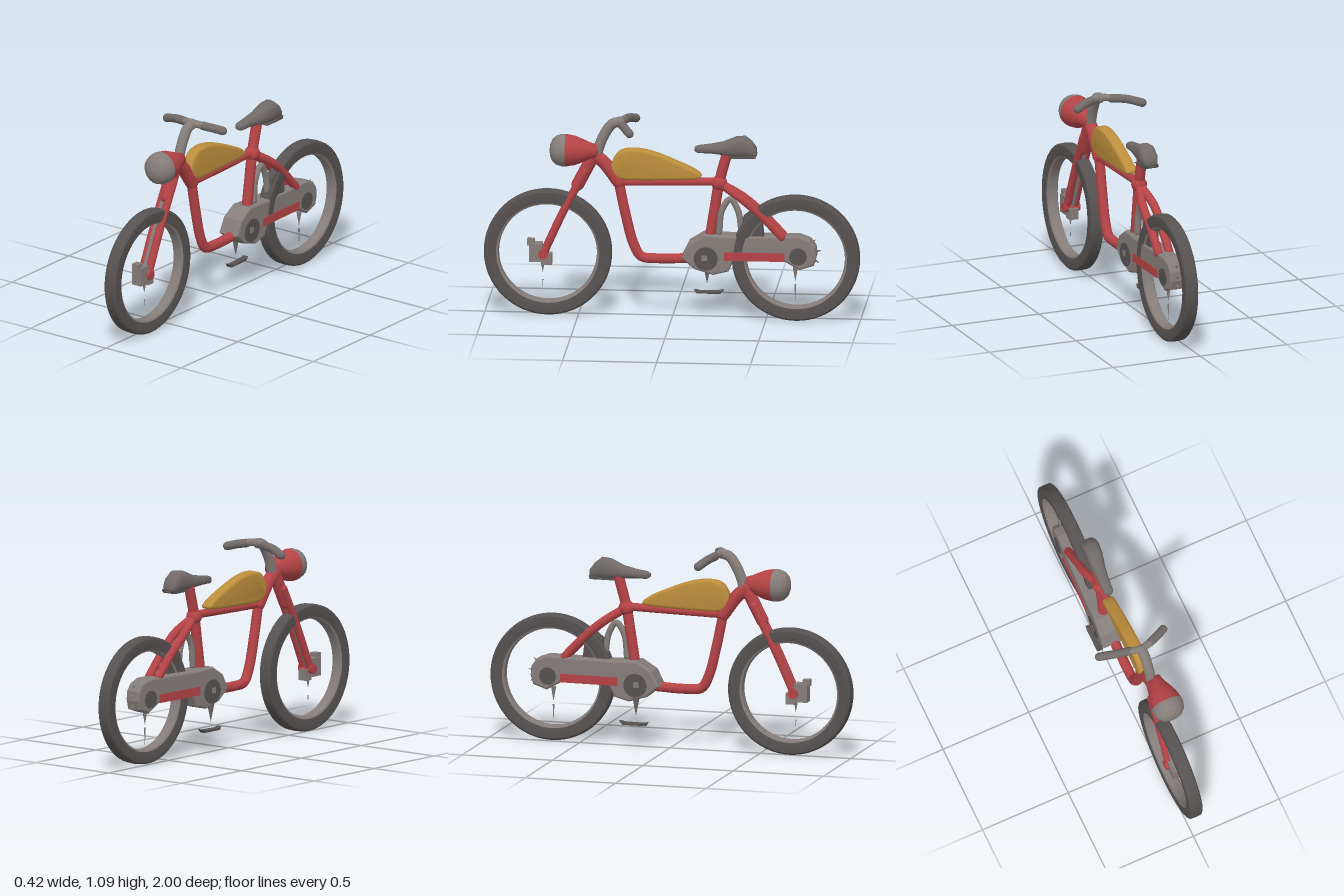
import * as THREE from 'three';
import { toCreasedNormals } from 'three/addons/utils/BufferGeometryUtils.js';

const paint = (name, color) => {
  const m = new THREE.MeshStandardMaterial({ color });
  m.name = name;
  return m;
};

export function createModel() {
  const bike = new THREE.Group();
  bike.name = 'motorbike';
  const red = paint('red frame', 0xb54346);
  const grey = paint('grey metal', 0x857d7a);
  const dark = paint('dark rubber', 0x565251);
  const mid = paint('saddle grey', 0x706a68);
  const yellow = paint('yellow tank', 0xbc8e3c);

  const V = (x, y, z) => new THREE.Vector3(x, y, z);
  const add = (name, geo, mat, x = 0, y = 0, z = 0) => {
    const m = new THREE.Mesh(geo, mat);
    m.name = name;
    m.position.set(x, y, z);
    bike.add(m);
    return m;
  };
  // round bar along a path, with ball ends
  const bar = (name, pts, r, mat) => {
    const path = new THREE.CatmullRomCurve3(pts);
    add(name, new THREE.TubeGeometry(path, pts.length * 8, r, 12), mat);
    for (const p of [pts[0], pts[pts.length - 1]])
      add(name + 'End', new THREE.SphereGeometry(r, 12, 8), mat, p.x, p.y, p.z);
  };
  // side outline of [z, y] points, spread across x
  const plate = (pts, width, bevel, smooth) => {
    const s = new THREE.Shape();
    s.moveTo(...pts[0]);
    if (smooth) s.splineThru([...pts.slice(1), pts[0]].map(p => new THREE.Vector2(...p)));
    else pts.slice(1).forEach(p => s.lineTo(...p));
    const depth = width - 2 * bevel;
    const g = new THREE.ExtrudeGeometry(s, {
      depth, curveSegments: 48, bevelEnabled: bevel > 0, bevelSize: bevel,
      bevelOffset: -bevel, bevelThickness: bevel, bevelSegments: 4
    });
    g.translate(0, 0, -depth / 2);
    g.rotateY(-Math.PI / 2);
    return g;
  };
  const disc = (name, r, w, mat, x, y, z, sides = 24) =>
    add(name, new THREE.CylinderGeometry(r, r, w, sides).rotateZ(Math.PI / 2), mat, x, y, z);
  // ring about the x axis from [radius, offset] profile
  const ring = profile => toCreasedNormals(new THREE.LatheGeometry(
    profile.map(p => new THREE.Vector2(...p)), 64).rotateZ(Math.PI / 2), 0.6);

  // wheels: square-shouldered tyre with a pale inner rim
  for (const [name, x, z] of [['front', 0.022, 0.662], ['rear', 0.042, -0.659]]) {
    add(name + 'Tyre', ring([[0.274, -0.032], [0.3, -0.037], [0.33, -0.036], [0.339, -0.028],
      [0.341, 0], [0.339, 0.028], [0.33, 0.036], [0.3, 0.037], [0.274, 0.032]]), dark, x, 0.348, z);
    add(name + 'Rim', ring([[0.274, 0.032], [0.264, 0.026], [0.26, 0],
      [0.264, -0.026], [0.274, -0.032]]), grey, x, 0.348, z);
  }

  // front fork: red blades, grey inner leg, axle block
  const blade = x => [V(x, 0.8, 0.462), V(x, 0.57, 0.58), V(x, 0.34, 0.685)];
  bar('forkBladeLeft', blade(0.045), 0.021, red);
  bar('forkBladeRight', blade(0.002), 0.021, red);
  bar('forkInnerLeg', blade(0.012), 0.019, grey);
  bar('forkCrown', [V(0.028, 0.89, 0.415), V(0.028, 0.72, 0.503)], 0.034, red);
  add('frontAxle', new THREE.BoxGeometry(0.06, 0.1, 0.07), grey, 0.022, 0.345, 0.725);
  add('axleLug', new THREE.BoxGeometry(0.04, 0.035, 0.04), grey, 0.022, 0.4, 0.752);
  add('axleRear', new THREE.BoxGeometry(0.05, 0.06, 0.05), grey, 0.022, 0.31, 0.665);
  disc('axleCap', 0.026, 0.09, red, 0.022, 0.34, 0.685);

  // headlamp: pale dome on a red bell
  const lamp = (name, profile, mat) => add(name, new THREE.LatheGeometry(
    profile.map(p => new THREE.Vector2(...p)), 32).rotateX(Math.PI / 2), mat, 0.045, 0.91, 0);
  lamp('headlampBell', [[0.001, 0.39], [0.035, 0.4], [0.046, 0.44], [0.062, 0.475],
    [0.078, 0.515], [0.087, 0.565]], red);
  lamp('headlampDome', [[0.087, 0.565], [0.086, 0.59], [0.077, 0.617], [0.058, 0.637],
    [0.032, 0.648], [0, 0.652]], grey);

  // steering stem, bars and grips
  bar('stem', [V(0.03, 0.88, 0.405), V(0.03, 0.98, 0.37), V(0.03, 1.055, 0.32), V(0.03, 1.068, 0.28)], 0.028, grey);
  for (const [ex, ey, ez, s] of [[-0.187, 1.034, 0.212, -1], [0.185, 1.044, 0.215, 1]]) {
    const mx = 0.03 + s * 0.06;
    bar('handlebar', [V(0.03, 1.073, 0.278), V(mx, 1.066, 0.262)], 0.02, grey);
    bar('grip', [V(mx, 1.064, 0.26), V((mx + ex) / 2, 1.056, 0.24), V(ex, ey, ez)], 0.023, mid);
  }

  // frame tubes
  const fx = 0.03;
  bar('headTube', [V(fx, 0.89, 0.42), V(fx, 0.84, 0.36), V(fx, 0.74, 0.285)], 0.036, red);
  bar('topTube', [V(fx, 0.74, 0.28), V(fx, 0.745, 0.05), V(fx, 0.752, -0.24)], 0.022, red);
  bar('downTube', [V(fx, 0.74, 0.285), V(fx, 0.57, 0.25), V(fx, 0.4, 0.205), V(fx, 0.335, 0.165),
    V(fx, 0.325, 0.08), V(fx, 0.33, -0.09)], 0.027, red);
  bar('seatTube', [V(fx, 0.44, -0.2), V(fx, 0.6, -0.225), V(fx, 0.75, -0.25), V(fx, 0.92, -0.295)], 0.028, red);
  add('frameJoint', new THREE.SphereGeometry(0.042, 20, 14), red, fx, 0.745, -0.25);
  for (const x of [0.0, 0.062]) {
    bar('seatStay', [V(fx, 0.745, -0.25), V(x, 0.665, -0.375), V(x, 0.58, -0.475), V(x, 0.465, -0.585)], 0.023, red);
  }
  bar('fenderBracket', [V(0.04, 0.48, -0.25), V(0.04, 0.6, -0.265), V(0.04, 0.66, -0.31),
    V(0.04, 0.6, -0.35), V(0.04, 0.48, -0.37)], 0.017, grey);
  add('fenderFill', plate([[-0.36, 0.46], [-0.38, 0.57], [-0.43, 0.61], [-0.48, 0.55], [-0.49, 0.46]], 0.05, 0.005),
    dark, 0.042);

  // fuel tank
  add('tank', toCreasedNormals(plate([[0.315, 0.785], [0.325, 0.835], [0.285, 0.905], [0.21, 0.925],
    [0.1, 0.908], [-0.05, 0.85], [-0.13, 0.81], [-0.155, 0.78], [-0.11, 0.765], [0.08, 0.757],
    [0.26, 0.757]], 0.066, 0.016, true), 0.7), yellow, 0.03);

  // saddle: loft of rounded sections [z, bottom, top, centre x, half width]
  const sections = [[-0.118, 0.918, 0.94, 0.03, 0.012], [-0.135, 0.908, 0.948, 0.03, 0.026],
    [-0.2, 0.908, 0.957, 0.03, 0.03], [-0.27, 0.902, 0.972, 0.035, 0.036],
    [-0.34, 0.896, 1.003, 0.042, 0.045], [-0.39, 0.896, 1.008, 0.044, 0.047],
    [-0.425, 0.896, 0.98, 0.044, 0.046], [-0.45, 0.9, 0.945, 0.044, 0.034]];
  const sides = 20, pos = [], idx = [];
  for (const [z, lo, hi, cx, hw] of sections) {
    for (let j = 0; j < sides; j++) {
      const a = j / sides * Math.PI * 2, c = Math.cos(a), s = Math.sin(a);
      pos.push(cx + hw * Math.sign(c) * Math.abs(c) ** 0.7,
        (lo + hi) / 2 + (hi - lo) / 2 * Math.sign(s) * Math.abs(s) ** 0.8, z);
    }
  }
  for (let i = 0; i < sections.length - 1; i++) {
    for (let j = 0; j < sides; j++) {
      const k = (j + 1) % sides, a = i * sides + j, b = i * sides + k;
      idx.push(a, a + sides, b, b, a + sides, b + sides);
    }
  }
  const last = (sections.length - 1) * sides;
  for (let j = 1; j < sides - 1; j++) idx.push(0, j, j + 1, last, last + j + 1, last + j);
  const saddle = new THREE.BufferGeometry();
  saddle.setAttribute('position', new THREE.Float32BufferAttribute(pos, 3));
  saddle.setIndex(idx);
  add('saddle', toCreasedNormals(saddle, 0.9), mid);
  add('saddlePan', plate([[-0.31, 0.893], [-0.445, 0.893], [-0.452, 0.912], [-0.4, 0.908]], 0.084, 0.003), dark, 0.044);

  // engine and chain case: one block around the rear wheel, narrowing to the rear
  const taper = z => (-0.05 - z) / 0.72;
  const faceX = (s, z) => s > 0 ? 0.08 - 0.008 * taper(z) : -0.043 + 0.028 * taper(z);
  const casing = plate([[-0.05, 0.34], [-0.09, 0.42], [-0.17, 0.47], [-0.3, 0.465], [-0.68, 0.47],
    [-0.735, 0.45], [-0.765, 0.41], [-0.77, 0.36], [-0.755, 0.31], [-0.68, 0.285], [-0.6, 0.33],
    [-0.33, 0.33], [-0.3, 0.27], [-0.22, 0.25], [-0.12, 0.28]], 2, 0.012);
  const cp = casing.attributes.position;
  for (let i = 0; i < cp.count; i++) {
    const x = cp.getX(i), s = Math.sign(x);
    cp.setX(i, faceX(s, cp.getZ(i)) - s * (1 - Math.abs(x)));
  }
  casing.computeVertexNormals();
  add('chainCase', casing, grey);
  // painted details on each face of the case
  for (const s of [1, -1]) {
    const tilt = s > 0 ? 0.011 : -0.039;
    const details = [
      add('caseStripe', new THREE.BoxGeometry(0.009, 0.046, 0.32), red, faceX(s, -0.44), 0.355, -0.44),
      disc('crankDisc', 0.064, 0.009, dark, faceX(s, -0.182), 0.34, -0.182),
      add('crankNut', new THREE.BoxGeometry(0.014, 0.03, 0.03), grey, faceX(s, -0.175), 0.345, -0.175),
      disc('hubDisc', 0.048, 0.009, dark, faceX(s, -0.672), 0.36, -0.672, 10)];
    for (const d of details) d.rotation.y = tilt;
  }
  for (const a of [0.15, 0.75, -0.45]) {
    const tip = add('hubLug', new THREE.ConeGeometry(0.016, 0.05, 6), grey,
      0.03, 0.37 + Math.sin(a) * 0.09, -0.68 - Math.cos(a) * 0.09);
    tip.rotation.x = a - Math.PI / 2;
  }

  // hanging spikes below the hubs
  for (const [x, y, z, r, h] of [[0.022, 0.265, 0.69, 0.012, 0.06], [0.022, 0.175, 0.69, 0.003, 0.04],
    [0.035, 0.255, -0.655, 0.014, 0.08], [0.035, 0.15, -0.655, 0.005, 0.1]]) {
    add('hangingSpike', new THREE.ConeGeometry(r, h, 8).rotateX(Math.PI), grey, x, y, z);
  }

  // crank and pedal
  add('crankArm', new THREE.ConeGeometry(0.02, 0.1, 8).rotateX(Math.PI), mid, -0.027, 0.225, -0.18);
  add('pedal', plate([[-0.112, 0.144], [-0.125, 0.125], [-0.25, 0.125], [-0.27, 0.146],
    [-0.24, 0.14], [-0.14, 0.138]].reverse(), 0.034, 0.003), dark, -0.028);

  return bike;
}
